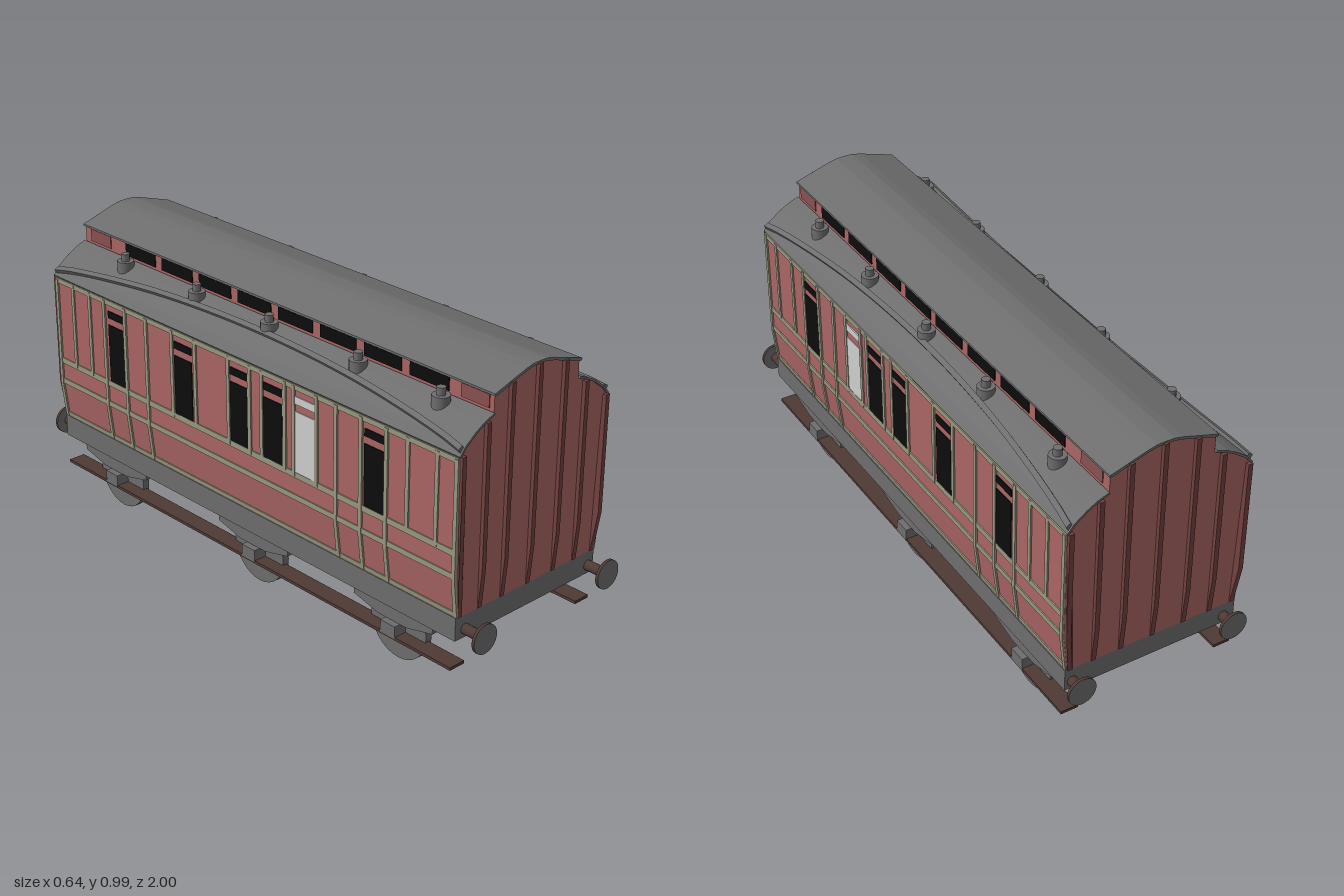
import * as THREE from 'three';

const material = (name, color, side = THREE.FrontSide) => {
  const m = new THREE.MeshStandardMaterial({ color, side });
  m.name = name;
  return m;
};

export function createModel() {
  const red = material('coach red', 0xab6565);
  const darkRed = material('dark red', 0x744240);
  const midRed = material('clerestory end red', 0x8a5050);
  const grey = material('roof grey', 0x6e6e6e);
  const trim = material('beading', 0x99977f);
  const black = material('window black', 0x0c0c0c);
  const white = material('frosted glass', 0xcfcfcf);
  const brown = material('brown', 0x4e3a34);

  const model = new THREE.Group();
  model.name = 'railwayCoach';
  const coach = new THREE.Group();
  coach.name = 'coach';
  coach.position.x = -0.0075;
  model.add(coach);

  const BACK = -0.945, FRONT = 0.92;
  const LENGTH = FRONT - BACK, MID = (FRONT + BACK) / 2;

  const add = (name, geometry, mat, x = 0, y = 0, z = 0, parent = coach) => {
    const mesh = new THREE.Mesh(geometry, mat);
    mesh.name = name;
    mesh.position.set(x, y, z);
    parent.add(mesh);
    return mesh;
  };
  const box = (name, w, h, d, mat, x, y, z) => add(name, new THREE.BoxGeometry(w, h, d), mat, x, y, z);
  const shapeOf = (pts) => new THREE.Shape(pts.map(([x, y]) => new THREE.Vector2(x, y)));
  const extrude = (pts, depth) => new THREE.ExtrudeGeometry(shapeOf(pts), { depth, bevelEnabled: false });
  const mirror = (pts) => pts.map(([x, y]) => [-x, y]);
  // section along z
  const alongZ = (name, pts, z0, z1, mat) => add(name, extrude(pts, z1 - z0), mat, 0, 0, z0);
  // (z, y) profile, extruded across x and centred on x = 0
  const acrossX = (pts, width) => extrude(pts, width).rotateY(-Math.PI / 2).translate(width / 2, 0, 0);

  // Half outlines of the coach section
  const wall = [[0.297, 0.27], [0.312, 0.4], [0.312, 0.785]];
  const lowRoof = [[0.312, 0.785], [0.29, 0.812], [0.25, 0.842], [0.215, 0.862], [0.178, 0.876]];
  const topRoof = [[0.178, 0.937], [0.115, 0.958], [0.06, 0.975], [0.03, 0.982], [0, 0.983]];
  const wallX = (y) => 0.312 - Math.max(0, 0.4 - y) * 0.115;
  const roofY = (x) => {
    for (let i = 1; i < lowRoof.length; i++) {
      const [x0, y0] = lowRoof[i - 1], [x1, y1] = lowRoof[i];
      if (x >= x1) return y0 + (y1 - y0) * (x0 - x) / (x0 - x1);
    }
    return 0.876;
  };

  // Body
  const half = [...wall, ...lowRoof.slice(1), ...topRoof];
  alongZ('body', [...half, ...mirror(half).reverse().slice(1)], BACK, FRONT, red);

  // Roof skins
  const raise = (pts, dx, dy) => pts.map(([x, y]) => [x + dx, y + dy]);
  for (const s of [1, -1]) {
    const skin = [...raise(lowRoof, 0.004, 0.006), ...[...lowRoof].reverse()];
    alongZ('lowerRoof', s > 0 ? skin : mirror(skin), BACK - 0.006, FRONT + 0.006, grey);
  }
  const cap = raise(topRoof, 0, 0.003).map(([x, y], i) => [i ? x : 0.183, y]);
  const capBase = [[0.183, 0.933], [0.17, 0.933], ...topRoof.slice(1).map(([x, y]) => [x, y - 0.006])];
  alongZ('clerestoryRoof',
    [...cap, ...mirror(cap).reverse().slice(1), ...mirror(capBase), ...[...capBase].reverse().slice(1)],
    BACK - 0.006, FRONT + 0.006, grey);

  // Ribs on both ends, tapering in at the foot
  const ribTops = [[0, 0.981], [0.112, 0.956], [-0.112, 0.956], [0.207, 0.863], [-0.207, 0.863], [0.304, 0.79], [-0.304, 0.79]];
  for (const end of [1, -1]) {
    for (const [x, top] of ribTops) {
      const pts = [[0, 0.27], [0.002, 0.27], [0.013, 0.4], [0.013, top], [0, top]].map(([z, y]) => [z * end, y]);
      const g = acrossX(pts, 0.016);
      const p = g.attributes.position;
      if (Math.abs(x) > 0.29) {
        for (let i = 0; i < p.count; i++) p.setX(i, p.getX(i) - Math.sign(x) * (0.312 - wallX(p.getY(i))));
      }
      add('endRib', g, darkRed, x, 0, end > 0 ? FRONT : BACK);
    }
  }

  // Plate that follows the side wall
  const sidePlate = (name, s, z0, z1, y0, y1, t, mat) => {
    const ys = y0 < 0.4 && y1 > 0.4 ? [y0, 0.4, y1] : [y0, y1];
    const outer = ys.map((y) => [s * (wallX(y) + t), y]);
    const inner = ys.map((y) => [s * (wallX(y) - 0.002), y]).reverse();
    alongZ(name, [...outer, ...inner], z0, z1, mat);
  };

  const upperStrips = [0.84, 0.725, 0.345, 0.245, 0.205, 0.1, 0.045, -0.055, -0.215, -0.33, -0.76, -0.85];
  const fullStrips = [0.915, 0.64, 0.535, 0.43, -0.46, -0.57, -0.68, -0.937];
  const windows = [0.592, 0.295, 0.152, -0.003, -0.275, -0.617];

  for (const s of [1, -1]) {
    // Beading
    for (const [y0, y1] of [[0.768, 0.785], [0.475, 0.495], [0.4, 0.418], [0.27, 0.287]]) {
      sidePlate('horizontalBeading', s, BACK, FRONT, y0, y1, 0.004, trim);
    }
    for (const z of upperStrips) sidePlate('upperBeading', s, z - 0.007, z + 0.007, 0.48, 0.78, 0.005, trim);
    for (const z of fullStrips) sidePlate('fullBeading', s, z - 0.007, z + 0.007, 0.272, 0.78, 0.006, trim);

    // Side windows with small ventilators above
    windows.forEach((z, i) => {
      const glass = i === 1 ? white : black;
      sidePlate('window', s, z - 0.043, z + 0.043, 0.492, 0.698, 0.003, glass);
      sidePlate('ventilator', s, z - 0.043, z + 0.043, 0.722, 0.747, 0.003, glass);
    });

    // Clerestory windows and end panels
    for (let i = 0; i < 8; i++) {
      box('clerestoryWindow', 0.004, 0.042, 0.155, black, s * 0.179, 0.91, 0.672 - i * 0.1885);
    }
    for (const z of [0.85, -0.86]) box('clerestoryPanel', 0.004, 0.042, 0.107, midRed, s * 0.179, 0.91, z);

    // Curved rain strip bent along the roof
    const strip = new THREE.BoxGeometry(0.018, 0.022, LENGTH, 1, 1, 28);
    const p = strip.attributes.position;
    for (let i = 0; i < p.count; i++) {
      const u = p.getX(i), v = p.getY(i) + 0.008, t = p.getZ(i) / (LENGTH / 2);
      const cx = 0.3 - 0.067 * (1 - t * t);
      p.setXYZ(i, cx + u * 0.86 + v * 0.5, roofY(cx) - u * 0.5 + v * 0.86, p.getZ(i));
    }
    strip.computeVertexNormals();
    const rain = add('rainStrip', strip, grey, 0, 0, MID);
    if (s < 0) rain.rotation.y = Math.PI;

    // Roof vents
    const ventZ = s > 0 ? [-0.745, -0.36, -0.01, 0.35, 0.695] : [-0.68, -0.315, 0.03, 0.42, 0.755];
    for (const z of ventZ) {
      add('ventBase', new THREE.CylinderGeometry(0.028, 0.028, 0.045, 16), grey, s * 0.217, 0.87, z);
      add('ventCap', new THREE.CylinderGeometry(0.014, 0.014, 0.03, 12), grey, s * 0.217, 0.902, z);
    }

    // Wheels, axle boxes and springs
    const spring = [[-0.165, 0.2], [-0.165, 0.165], [-0.06, 0.14], [0.06, 0.14], [0.165, 0.165], [0.165, 0.2]];
    for (const z of [0.65, 0.02, -0.69]) {
      const wheel = add('wheel', new THREE.CylinderGeometry(0.115, 0.115, 0.024, 32), grey, s * 0.25, 0.116, z);
      wheel.rotation.z = Math.PI / 2;
      add('spring', acrossX(spring, 0.018), grey, s * 0.28, 0, z);
      box('axleBox', 0.075, 0.042, 0.06, grey, s * 0.271, 0.117, z);
    }

    // Footboard
    box('footboard', 0.06, 0.01, 1.84, brown, s * 0.277, 0.096, -0.014);

    // Buffers
    for (const end of [1, -1]) {
      const shank = add('bufferShank', new THREE.CylinderGeometry(0.017, 0.017, 0.08, 16), brown, s * 0.271, 0.222, end * 0.955, model);
      const head = add('bufferHead', new THREE.CylinderGeometry(0.048, 0.048, 0.01, 28), [brown, grey, grey], s * 0.271, 0.222, end * 0.995, model);
      shank.rotation.x = head.rotation.x = Math.PI / 2;
    }
  }

  // Underframe
  box('underframe', 0.608, 0.077, 1.862, grey, 0, 0.2325, MID);

  return model;
}
